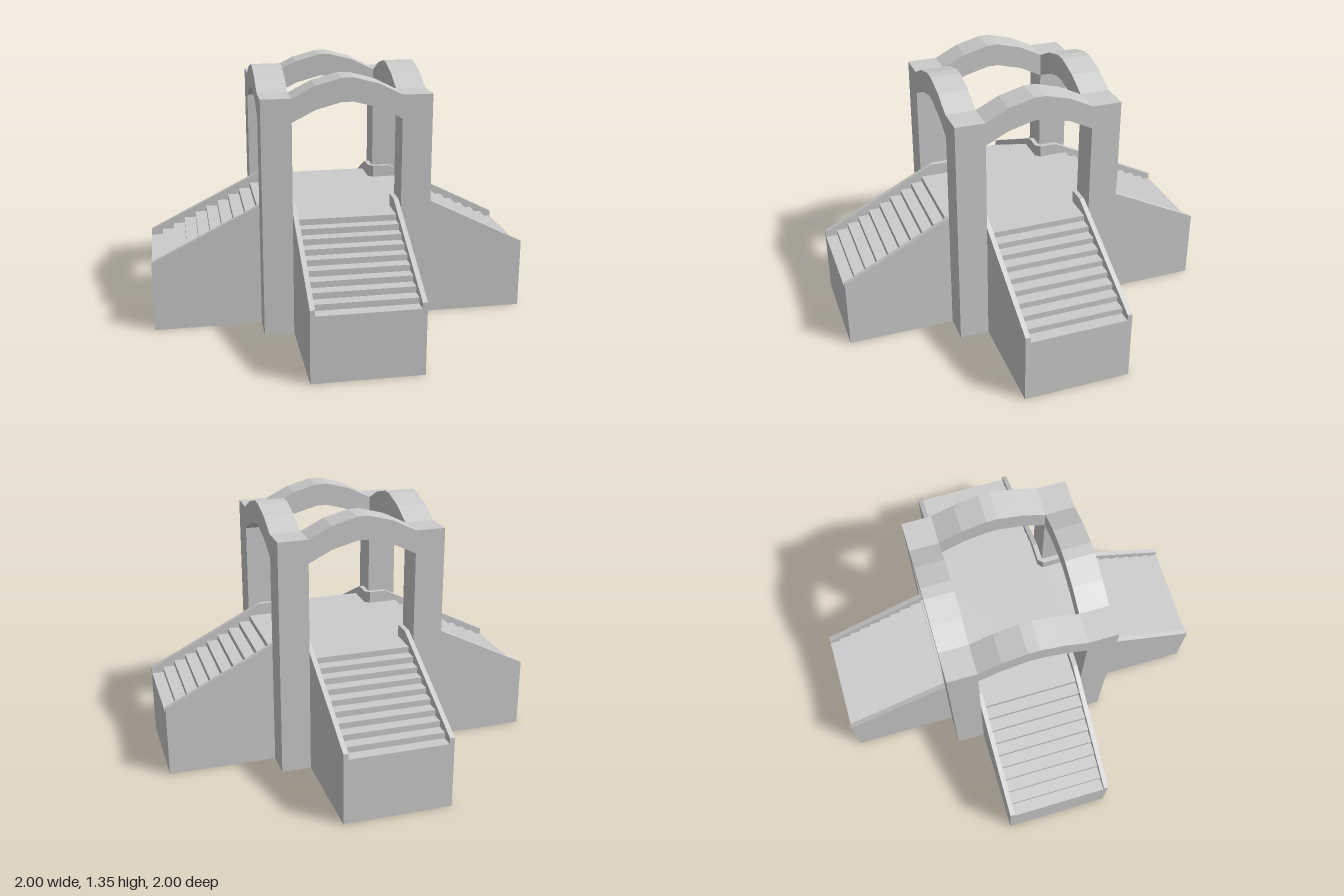
import * as THREE from 'three';

const material = new THREE.MeshStandardMaterial({
  color: 0xcccccc, flatShading: true, side: THREE.DoubleSide,
});

const HALF = 0.28;      // half width of an arm and of the platform
const KERB = 0.255;     // inner edge of the kerbs
const OUT = 0.435;      // outer face of the pillars
const FLOOR = 0.625;    // platform height
const STEPS = 9, RUN = 0.0625, RISE = 0.0311;
const KERB_TOP = 0.69, KERB_END = 0.376;

function add(parent, name, geometry) {
  const mesh = new THREE.Mesh(geometry, material);
  mesh.name = name;
  parent.add(mesh);
  return mesh;
}

const toShape = (pts) => new THREE.Shape(pts.map(([x, y]) => new THREE.Vector2(x, y)));

// Flat sheet in a plane of constant z, facing +z or, if flipped, -z
function sheet(pts, z, flip = false) {
  const g = new THREE.ShapeGeometry(toShape(pts));
  if (flip) {
    g.setIndex(Array.from(g.index.array).reverse());
    g.computeVertexNormals();
  }
  return g.translate(0, 0, z);
}

// Strip following an x,y path between two depths, facing left of the path
function ribbon(path, z0, z1) {
  const v = [];
  for (let i = 0; i + 1 < path.length; i++) {
    const [ax, ay] = path[i], [bx, by] = path[i + 1];
    v.push(ax, ay, z1, bx, by, z1, bx, by, z0);
    v.push(ax, ay, z1, bx, by, z0, ax, ay, z0);
  }
  const g = new THREE.BufferGeometry();
  g.setAttribute('position', new THREE.Float32BufferAttribute(v, 3));
  g.computeVertexNormals();
  return g;
}

// Stair arm running out along +x, hollow and open below
function makeStairArm() {
  const arm = new THREE.Group();
  arm.name = 'stairArm';

  const steps = [[HALF, FLOOR]];
  for (let i = 0; i < STEPS; i++) {
    const x = 1 - (STEPS - i) * RUN;
    steps.push([x, FLOOR - i * RISE], [x, FLOOR - (i + 1) * RISE]);
  }
  const low = FLOOR - STEPS * RISE;
  steps.push([1, low]);
  add(arm, 'steps', ribbon(steps, -KERB, KERB));

  const kerbLine = [[HALF, KERB_TOP], [0.375, KERB_TOP], [1, KERB_END]];
  const wall = [[OUT, 0], [1, 0], [1, KERB_END], [OUT, 0.66]];
  for (const side of [-1, 1]) {
    const z = [side * KERB, side * HALF].sort((a, b) => a - b);
    add(arm, 'sideWall', sheet(wall, side * HALF, side < 0));
    add(arm, 'kerbTop', ribbon(kerbLine, z[0], z[1]));
    add(arm, 'kerbInnerFace', sheet([...steps, ...[...kerbLine].reverse()], side * KERB, side > 0));
  }

  // End wall, notched between the kerbs
  const end = [[-HALF, 0], [HALF, 0], [HALF, KERB_END], [KERB, KERB_END],
    [KERB, low], [-KERB, low], [-KERB, KERB_END], [-HALF, KERB_END]];
  add(arm, 'endWall', sheet(end, 0).rotateY(Math.PI / 2).translate(1, 0, 0));
  return arm;
}

// One portal on the +z side: two pillar faces joined by a faceted arch
function makePortal() {
  const portal = new THREE.Group();
  portal.name = 'portal';
  const top = [[-HALF, 1.25], [-0.16, 1.31], [-0.03, 1.345], [0.03, 1.345], [0.16, 1.31], [HALF, 1.25]];
  const under = top.map(([x, y]) => [x, y - 0.121]).reverse();

  add(portal, 'outerFace', sheet([
    [-OUT, 0], [-HALF, 0], ...[...under].reverse(), [HALF, 0], [OUT, 0],
    [OUT, 1.25], ...[...top].reverse(), [-OUT, 1.25]], OUT));
  add(portal, 'archInnerFace', sheet([...top, ...under], HALF, true));
  // Arch top, carried across one pillar head
  add(portal, 'archTop', ribbon([...top, [OUT, 1.25]], HALF, OUT));
  // Arch underside with the pillar jambs down to the platform
  add(portal, 'archUnderside', ribbon([[HALF, FLOOR], ...under, [-HALF, FLOOR]], HALF, OUT));
  return portal;
}

// Small mitred block where two kerbs meet at a pillar
function makeKerbCorner() {
  const tri = toShape([[HALF, -HALF], [HALF, -KERB], [KERB, -HALF]]);
  const g = new THREE.ExtrudeGeometry(tri, { depth: KERB_TOP - FLOOR, bevelEnabled: false });
  return g.rotateX(-Math.PI / 2).translate(0, FLOOR, 0);
}

export function createModel() {
  const model = new THREE.Group();
  model.name = 'stairPavilion';

  add(model, 'platform', new THREE.PlaneGeometry(2 * HALF, 2 * HALF)
    .rotateX(-Math.PI / 2).translate(0, FLOOR, 0));

  // Four identical quarters
  for (let i = 0; i < 4; i++) {
    const quarter = new THREE.Group();
    quarter.name = 'quarter';
    quarter.add(makeStairArm(), makePortal());
    add(quarter, 'kerbCorner', makeKerbCorner());
    quarter.rotation.y = i * Math.PI / 2;
    model.add(quarter);
  }
  return model;
}
